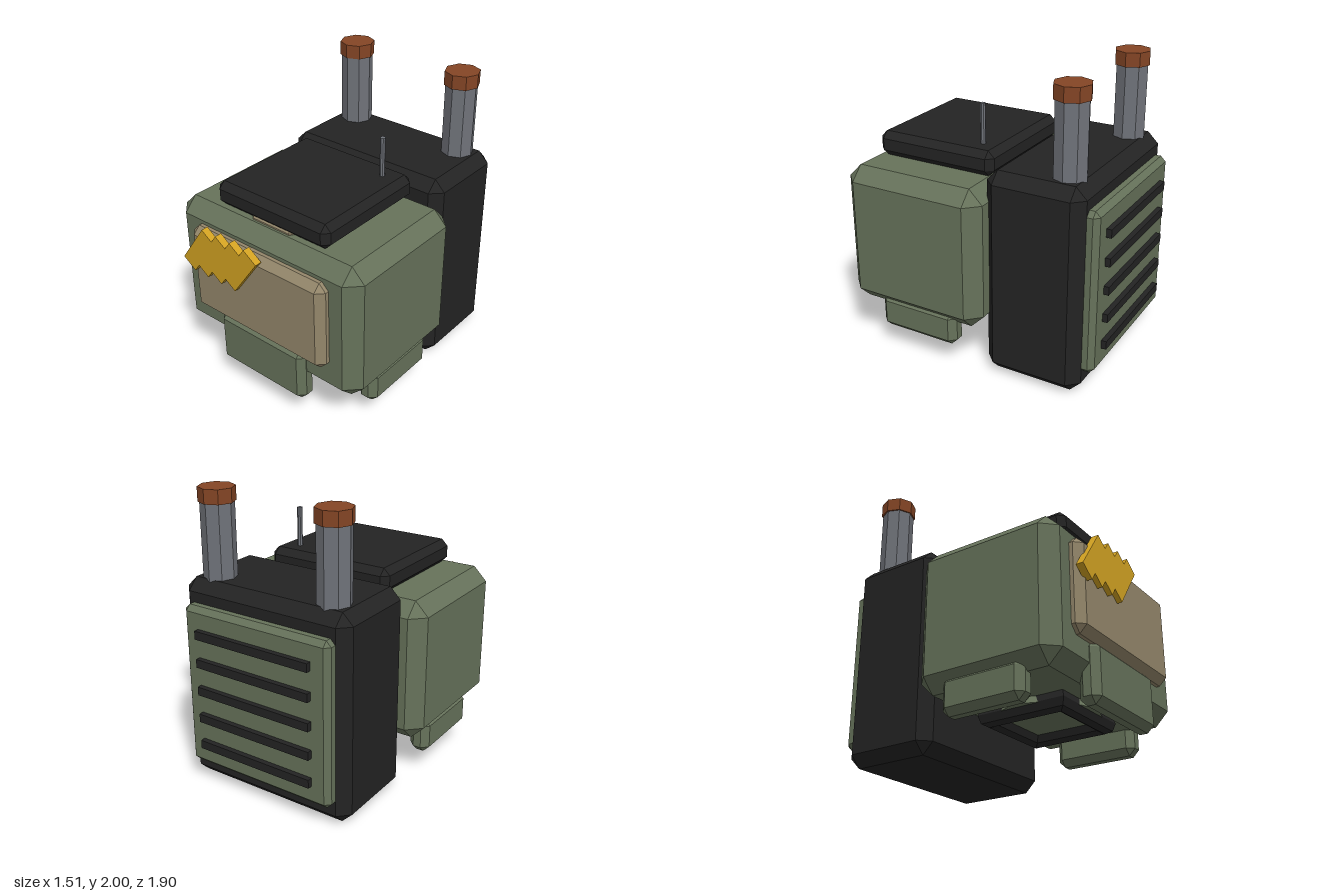
import * as THREE from 'three';
import { ConvexGeometry } from 'three/addons/geometries/ConvexGeometry.js';

const mat = (name, color) => {
  const m = new THREE.MeshStandardMaterial({ color, flatShading: true });
  m.name = name;
  return m;
};

// Box between two corners with every edge chamfered by c
function chamferBox([x0, x1], [y0, y1], [z0, z1], c) {
  const h = [(x1 - x0) / 2, (y1 - y0) / 2, (z1 - z0) / 2];
  const pts = [];
  for (const sx of [-1, 1]) for (const sy of [-1, 1]) for (const sz of [-1, 1]) {
    for (let full = 0; full < 3; full++) {
      const p = [sx, sy, sz].map((s, i) => s * (h[i] - (i === full ? 0 : c)));
      pts.push(new THREE.Vector3(...p));
    }
  }
  return new ConvexGeometry(pts).translate((x0 + x1) / 2, (y0 + y1) / 2, (z0 + z1) / 2);
}

export function createModel() {
  const green = mat('olive green', 0x66725a);
  const black = mat('charcoal', 0x232323);
  const tan = mat('tan', 0x93866a);
  const gold = mat('gold', 0xd2a222);
  const rust = mat('rust brown', 0x844525);
  const steel = mat('steel grey', 0x70737a);

  const group = new THREE.Group();
  const add = (name, geometry, material, x = 0, y = 0, z = 0) => {
    const m = new THREE.Mesh(geometry, material);
    m.name = name;
    m.position.set(x, y, z);
    group.add(m);
    return m;
  };

  // Torso, top hatch and chest plate
  add('torso', chamferBox([-0.755, 0.755], [0.32, 1.295], [-0.185, 0.84], 0.095), green);
  add('hatch', chamferBox([-0.465, 0.465], [1.295, 1.465], [-0.13, 0.745], 0.045), black);
  add('hatchSill', chamferBox([-0.17, 0.17], [1.2, 1.325], [0.55, 0.73], 0.02), tan);
  add('chestPlate', chamferBox([-0.56, 0.56], [0.54, 1.175], [0.78, 0.915], 0.05), tan);

  // Row of slanted hazard bars on the chest
  for (let i = 0; i < 4; i++) {
    const bar = add('hazardBar', new THREE.BoxGeometry(0.122, 0.345, 0.05), gold, -0.44 + 0.122 * i, 1.05, 0.925);
    bar.rotation.z = -0.62;
  }

  // Hanging skirt plates
  add('frontSkirt', chamferBox([-0.37, 0.37], [0.17, 0.565], [0.745, 0.89], 0.045), green);
  add('leftSkirt', chamferBox([0.58, 0.725], [0.15, 0.4], [0.01, 0.6], 0.045), green);
  add('rightSkirt', chamferBox([-0.725, -0.58], [0.15, 0.4], [0.01, 0.6], 0.045), green);

  // Waist mount: flared plug inside a square ring
  add('waistPlug', new THREE.CylinderGeometry(0.3, 0.375, 0.15, 8), green, 0, 0.345, 0.31);
  const ring = new THREE.TorusGeometry(0.373, 0.075, 8, 4).rotateZ(Math.PI / 4).rotateX(Math.PI / 2);
  add('waistRing', ring, black, 0, 0.275, 0.31);

  // Engine pack with louvred rear panel
  add('enginePack', chamferBox([-0.635, 0.635], [0, 1.415], [-0.84, -0.16], 0.075), black);
  add('rearPanel', chamferBox([-0.56, 0.56], [0.15, 1.27], [-0.915, -0.77], 0.035), green);
  for (let i = 0; i < 5; i++) {
    add('rearLouvre', new THREE.BoxGeometry(0.87, 0.058, 0.06), black, 0, 0.32 + 0.195 * i, -0.92);
  }

  // Exhaust stacks with caps
  for (const x of [-0.44, 0.44]) {
    add('exhaustStack', new THREE.CylinderGeometry(0.11, 0.11, 0.6, 8), steel, x, 1.62, -0.67);
    add('exhaustCap', new THREE.CylinderGeometry(0.12, 0.12, 0.095, 8), rust, x, 1.9525, -0.67);
  }

  // Antenna
  add('antenna', new THREE.CylinderGeometry(0.018, 0.018, 0.3, 8), steel, 0.315, 1.585, 0.015);

  return group;
}
